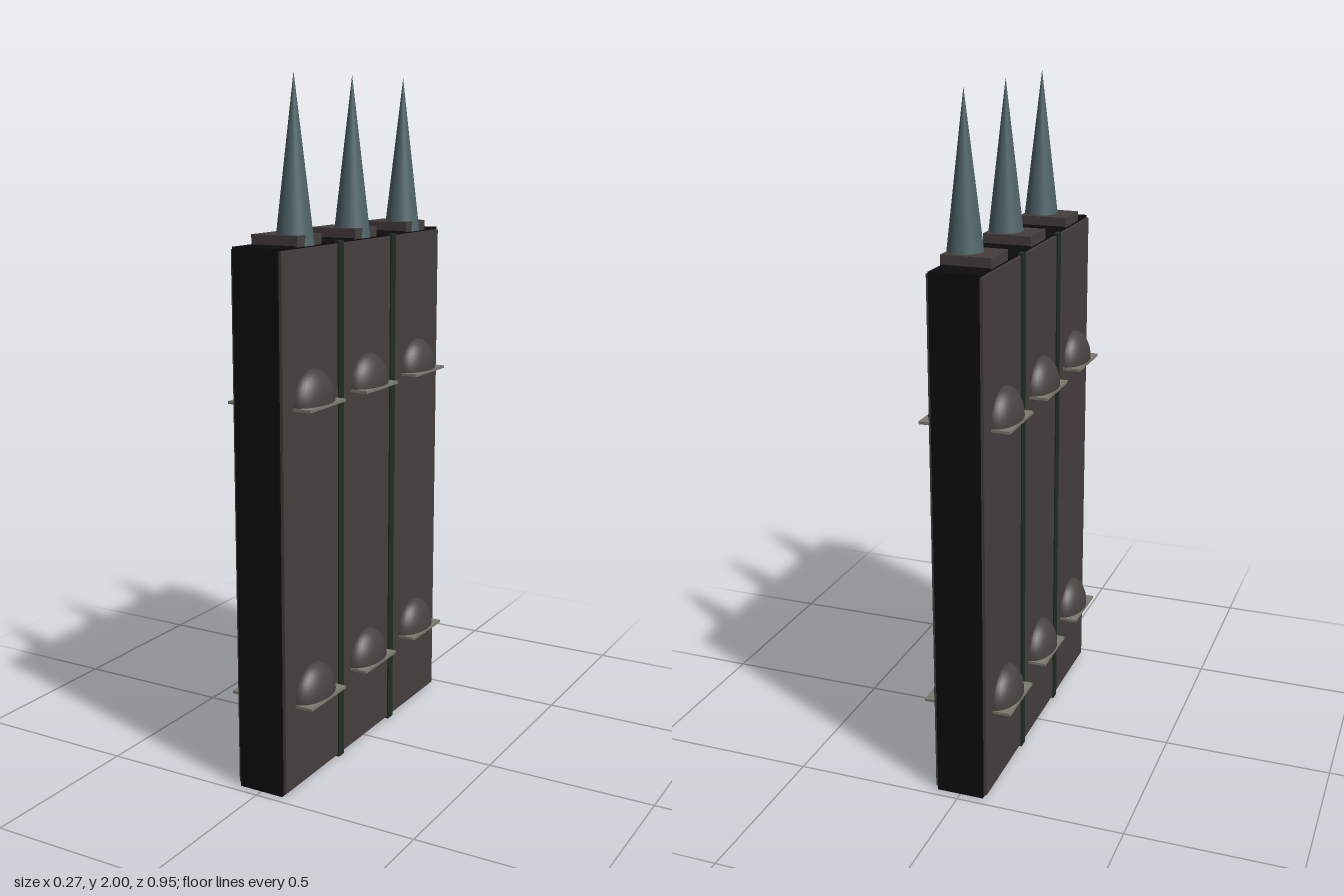
import * as THREE from 'three';

const mat = (name, color) => new THREE.MeshStandardMaterial({ name, color });

export function createModel() {
  const black = mat('black', 0x0c0c0c);
  const brown = mat('dark brown', 0x463e3d);
  const domeGrey = mat('dome grey', 0x474240);
  const green = mat('dark green', 0x1f2c20);
  const teal = mat('slate teal', 0x4e6469);
  const pale = mat('pale olive grey', 0x7a7a6e);

  const group = new THREE.Group();
  const add = (name, geometry, material, x, y, z) => {
    const mesh = new THREE.Mesh(geometry, material);
    mesh.name = name;
    mesh.position.set(x, y, z);
    group.add(mesh);
    return mesh;
  };
  const box = (name, material, w, h, d, x, y, z) =>
    add(name, new THREE.BoxGeometry(w, h, d), material, x, y, z);

  // Slab core
  box('core', black, 0.14, 1.545, 0.948, 0, 0.7725, 0);

  // Lamp hood: closed half dome, squashed in depth
  const hood = new THREE.SphereGeometry(0.095, 32, 12, 0, Math.PI * 2, 0, Math.PI / 2);
  hood.scale(0.58, 1, 1);

  for (const side of [-1, 1]) {
    // Face panel with two dividing strips
    box('facePanel', brown, 0.014, 1.53, 0.932, side * 0.072, 0.7725, 0);
    for (const z of [-0.157, 0.157])
      box('dividerStrip', green, 0.014, 1.545, 0.03, side * 0.076, 0.7725, z);

    // Two rows of hooded lamps
    for (const y of [0.25, 1.106])
      for (const z of [-0.316, 0, 0.316]) {
        add('lampHood', hood, domeGrey, side * 0.077, y + 0.006, z);
        box('lampPlate', pale, 0.06, 0.008, 0.194, side * 0.103, y + 0.002, z);
      }
  }

  // Spikes on their base plates
  for (const z of [-0.316, 0, 0.316]) {
    box('spikeBase', brown, 0.145, 0.03, 0.128, 0.002, 1.557, z);
    add('spike', new THREE.ConeGeometry(0.054, 0.458, 32), teal, 0.028, 1.771, z);
  }
  return group;
}
